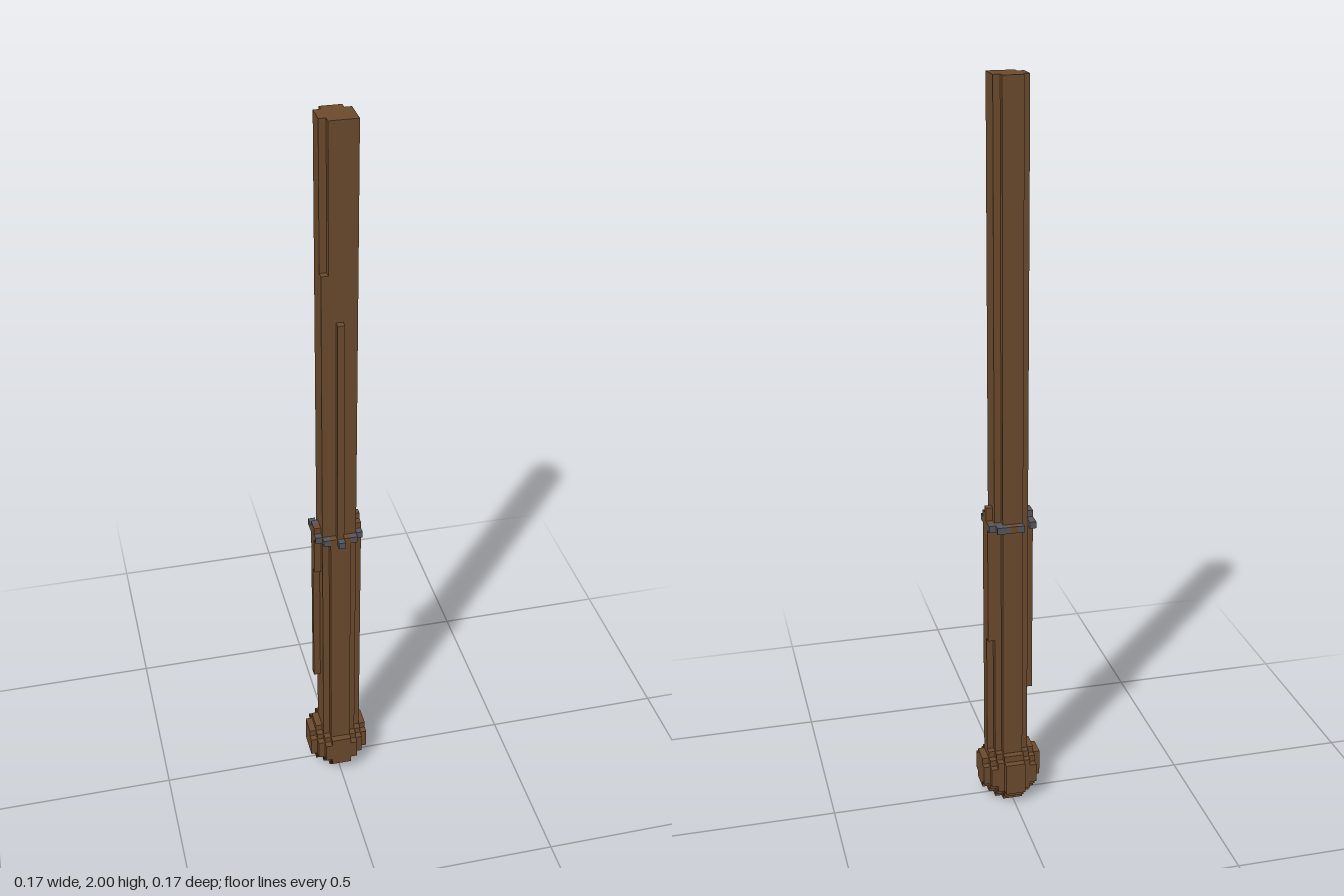
import * as THREE from 'three';
import { mergeGeometries } from 'three/addons/utils/BufferGeometryUtils.js';

const V = 2 / 109; // edge of one cube; the staff is 109 cubes tall

// Box covering the inclusive cell ranges x0..x1, y0..y1, z0..z1
function cells(x0, x1, y0, y1, z0, z1) {
  const g = new THREE.BoxGeometry((x1 - x0 + 1) * V, (y1 - y0 + 1) * V, (z1 - z0 + 1) * V);
  g.translate((x0 + x1) / 2 * V, (y0 + y1 + 1) / 2 * V, (z0 + z1) / 2 * V);
  return g;
}

export function createModel() {
  const wood = new THREE.MeshStandardMaterial({ color: 0x6b4a2c });
  wood.name = 'brownWood';
  const iron = new THREE.MeshStandardMaterial({ color: 0x56565c });
  iron.name = 'greyIron';

  const model = new THREE.Group();
  model.name = 'staff';
  const add = (name, geos, mat) => {
    const mesh = new THREE.Mesh(mergeGeometries(geos), mat);
    mesh.name = name;
    model.add(mesh);
  };

  // Square shaft with notched corners
  add('shaft', [
    cells(-1, 1, 7, 108, -2, 2),
    cells(-2, -2, 7, 108, -1, 1),
    cells(2, 2, 7, 108, -1, 2),
    cells(-2, -2, 7, 87, 2, 2),
  ], wood);

  // Raised strips of the grip, each ending at its own height
  add('gripStrips', [
    cells(0, 0, 7, 80, 3, 3),
    cells(-1, -1, 7, 45, 3, 3),
    cells(1, 1, 7, 45, 3, 3),
    cells(3, 3, 7, 47, 0, 0),
    cells(3, 3, 7, 46, 1, 1),
    cells(3, 3, 27, 45, -1, -1),
    cells(-3, -3, 18, 45, 0, 0),
    cells(-3, -3, 39, 46, 1, 1),
  ], wood);

  // Ring of metal studs around the middle
  const studs = [
    [-1, -3], [1, -3], [2, -3], [2, -2], [3, -2], [-3, -2], [-3, -1],
    [-3, 2], [-2, 3], [0, 4], [2, 3], [3, 2],
  ];
  add('collarStuds', studs.map(([x, z]) => cells(x, x, 45, 45, z, z)), iron);
  add('collarCap', [cells(-3, -3, 46, 46, 0, 0)], iron);
  add('collarWood', [cells(0, 0, 45, 45, -3, -3)], wood);

  // Stepped round pommel, slightly chipped at a few edges
  const chipped = (x, y, z) =>
    (y === 0 && x === -2) || (x === -4 && (z === -2 || y === 2)) || (z === -4 && Math.abs(x) === 2);
  const ball = [];
  for (let x = -4; x <= 4; x++) {
    for (let y = 0; y <= 8; y++) {
      const run = [];
      for (let z = -4; z <= 4; z++) {
        const inside = x * x + (y - 4) ** 2 + z * z <= 21;
        if (inside && !chipped(x, y, z)) run.push(z);
      }
      if (run.length) ball.push(cells(x, x, y, y, run[0], run[run.length - 1]));
    }
  }
  add('pommel', ball, wood);

  return model;
}
